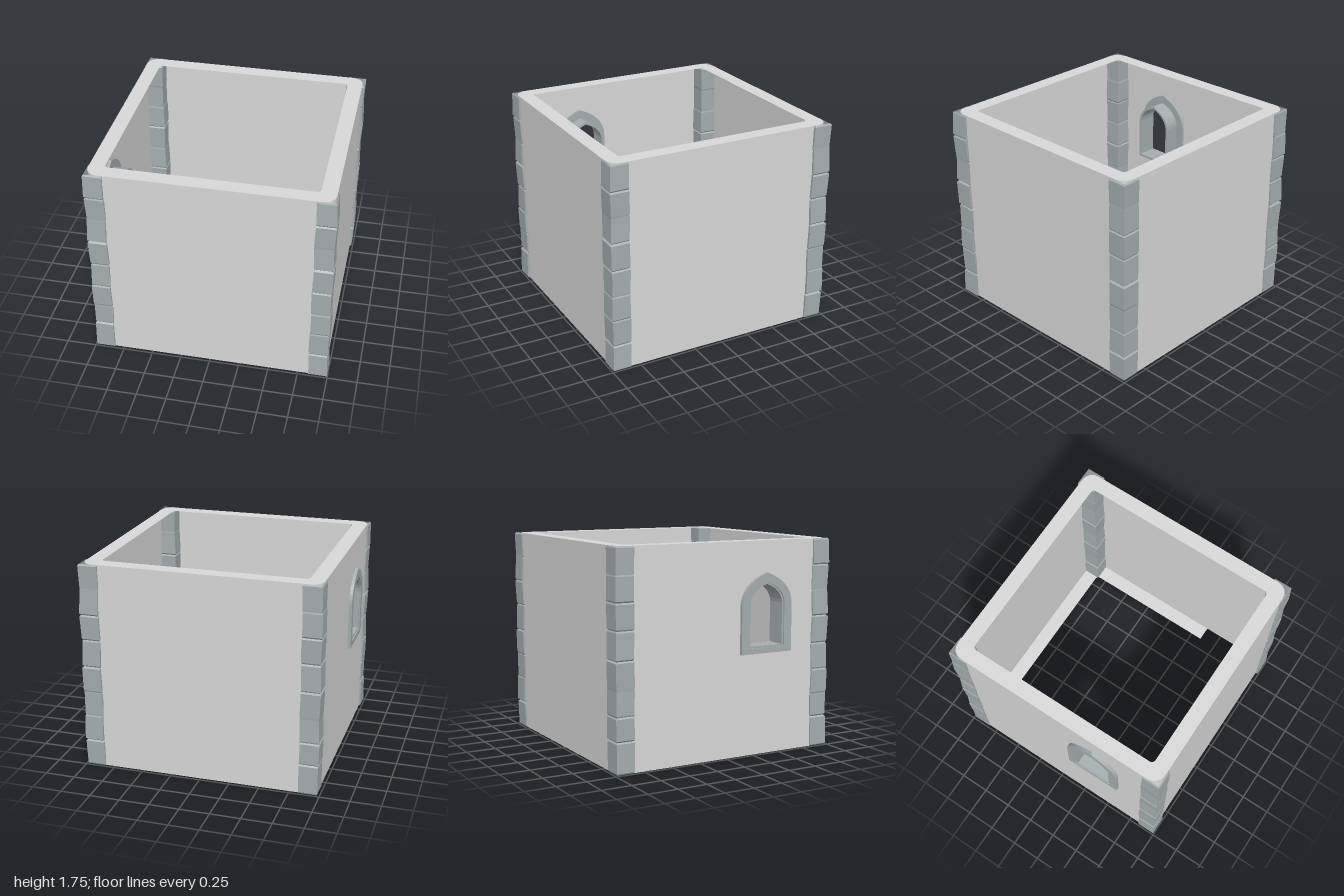
import * as THREE from 'three';
import { mergeGeometries } from 'three/addons/utils/BufferGeometryUtils.js';

const H = 1.75, OUT = 0.973, IN = 0.847, R_OUT = 0.1, R_IN = 0.03, SEG = 4;
const WIN_Z = 0.37, SPRING = 1.24;

const plaster = new THREE.MeshStandardMaterial({ color: 0xd8d8d8, side: THREE.DoubleSide });
plaster.name = 'grey plaster';
const stone = new THREE.MeshStandardMaterial({ color: 0xa4adaf, side: THREE.DoubleSide });
stone.name = 'blue grey stone';

function add(parent, geometry, material, name) {
  const mesh = new THREE.Mesh(geometry, material);
  mesh.name = name;
  parent.add(mesh);
  return mesh;
}

// Rounded square in plan, corner by corner: points and their outward normals
function roundedLoop(half, r) {
  const loop = [];
  for (let c = 0; c < 4; c++) {
    const mid = Math.PI / 4 + c * Math.PI / 2;
    const cx = Math.sign(Math.cos(mid)) * (half - r), cz = Math.sign(Math.sin(mid)) * (half - r);
    for (let i = 0; i <= SEG; i++) {
      const a = (c + i / SEG) * Math.PI / 2;
      const n = new THREE.Vector2(Math.cos(a), Math.sin(a));
      loop.push({ n, p: new THREE.Vector2(cx + n.x * r, cz + n.y * r) });
    }
  }
  return loop;
}

// Vertical faces along a loop, leaving out the flat side that holds the window
function wallStrip(loop) {
  const pos = [], nor = [];
  const windowSide = SEG * 2 + 1;
  loop.forEach((a, i) => {
    if (i === windowSide) return;
    const b = loop[(i + 1) % loop.length];
    for (const [v, y] of [[a, 0], [a, H], [b, H], [a, 0], [b, H], [b, 0]]) {
      pos.push(v.p.x, y, v.p.y);
      nor.push(v.n.x, 0, v.n.y);
    }
  });
  const g = new THREE.BufferGeometry();
  g.setAttribute('position', new THREE.Float32BufferAttribute(pos, 3));
  g.setAttribute('normal', new THREE.Float32BufferAttribute(nor, 3));
  return g;
}

// Slightly pointed arch outline
function arch(Type, h, y0) {
  const s = new Type(), c = WIN_Z;
  s.moveTo(c - h, y0);
  s.lineTo(c + h, y0);
  s.lineTo(c + h, SPRING);
  s.quadraticCurveTo(c + h * 0.95, SPRING + h * 0.72, c, SPRING + h * 1.06);
  s.quadraticCurveTo(c - h * 0.95, SPRING + h * 0.72, c - h, SPRING);
  s.closePath();
  return s;
}

// Flat wall face pierced by the window
function windowFace() {
  const half = OUT - R_OUT;
  const s = new THREE.Shape();
  s.moveTo(-half, 0);
  s.lineTo(half, 0);
  s.lineTo(half, H);
  s.lineTo(-half, H);
  s.closePath();
  s.holes.push(arch(THREE.Path, 0.165, 0.89));
  return new THREE.ShapeGeometry(s, 8).rotateY(-Math.PI / 2).translate(-OUT, 0, 0);
}

function archRing(outer, outerY, inner, innerY, xFrom, depth) {
  const s = arch(THREE.Shape, outer, outerY);
  s.holes.push(arch(THREE.Path, inner, innerY));
  return new THREE.ExtrudeGeometry(s, { depth, bevelEnabled: false, curveSegments: 8 })
    .rotateY(-Math.PI / 2).translate(xFrom, 0, 0);
}

// One hollow corner stone; gap0 and gap1 set how far its joints are cut back
function quoin(y0, y1, gap0, gap1, sx, sz, seed) {
  const g = new THREE.CylinderGeometry(Math.SQRT1_2, Math.SQRT1_2, 1, 4, 3, true).rotateY(Math.PI / 4);
  const p = g.attributes.position;
  const wobble = k => 0.005 * Math.sin(seed * 2.7 + k * 1.9);
  for (let i = 0; i < p.count; i++) {
    const row = Math.round((p.getY(i) + 0.5) * 3);
    const cut = [gap0, 0, 0, gap1][row];
    const y = [y0, y0 + 0.012, y1 - 0.012, y1][row];
    const outer = 0.989 - cut + (cut ? 0 : wobble(row));
    const inner = 0.832 + cut * 0.6 + (cut ? 0 : wobble(row + 3));
    p.setXYZ(i, sx * (p.getX(i) * sx > 0 ? outer : inner), y, sz * (p.getZ(i) * sz > 0 ? outer : inner));
  }
  const flat = g.toNonIndexed();
  flat.computeVertexNormals();
  return flat.translate(0.004, 0, 0);
}

export function createModel() {
  const model = new THREE.Group();
  model.name = 'stoneRoom';
  const outer = roundedLoop(OUT, R_OUT), inner = roundedLoop(IN, R_IN);

  // Thin walls
  const walls = new THREE.Group();
  walls.name = 'walls';
  model.add(walls);
  add(walls, wallStrip(outer), plaster, 'wall');
  add(walls, windowFace(), plaster, 'windowWall');

  // Top rim
  const rim = new THREE.Shape(outer.map(v => v.p));
  rim.holes.push(new THREE.Path(inner.map(v => v.p)));
  add(walls, new THREE.ShapeGeometry(rim).rotateX(-Math.PI / 2).translate(0, H, 0), plaster, 'topRim');

  // Bottom rim, open at the front left corner
  const P = (x, z) => new THREE.Vector2(x, z);
  const base = new THREE.Shape([
    P(0.5, OUT), ...outer.slice(SEG + 1).map(v => v.p), P(OUT, 0.35),
    P(IN, 0.35), ...inner.slice(SEG + 1).map(v => v.p).reverse(), P(0.5, IN),
  ]);
  add(walls, new THREE.ShapeGeometry(base).rotateX(Math.PI / 2), plaster, 'bottomRim');

  // Corner stones, seen from outside and inside
  const gaps = [0.01, 0.012, 0.004, 0.004, 0.011, 0.012, 0.005, 0.004, 0.008];
  [[1, 1], [1, -1], [-1, 1], [-1, -1]].forEach(([sx, sz], c) => {
    const levels = [0, 0.225, 0.45, 0.66, 0.88, 1.11, 1.325, 1.535, H];
    if (sx < 0) levels.splice(1, 1, 0.255);
    const stones = [];
    for (let i = 0; i < 8; i++) {
      stones.push(quoin(levels[i], levels[i + 1], gaps[i], gaps[i + 1], sx, sz, c * 8 + i));
    }
    add(model, mergeGeometries(stones), stone, 'cornerStones');
  });

  // Arched window: outer frame and a deep lining standing into the room
  const window = new THREE.Group();
  window.name = 'window';
  model.add(window);
  add(window, archRing(0.24, 0.84, 0.168, 0.885, -0.95, 0.05), stone, 'outerFrame');
  add(window, archRing(0.172, 0.88, 0.152, 0.9, -0.82, 0.17), stone, 'windowLining');
  return model;
}
